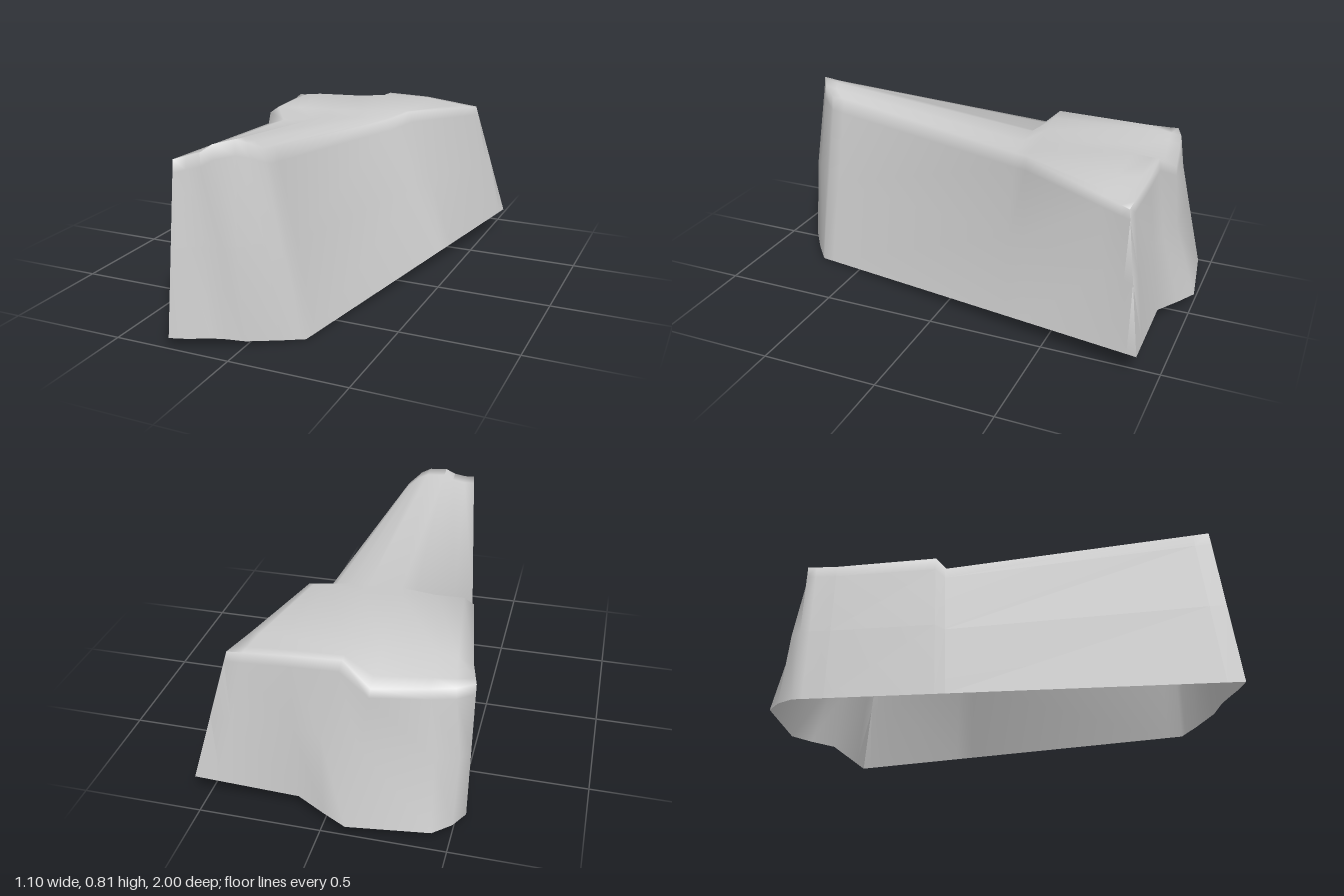
import * as THREE from 'three';
import { toCreasedNormals } from 'three/addons/utils/BufferGeometryUtils.js';

// Cross-sections run from the -x side to the +x side.
// Front end: bottom edge, middle, top rim
const front = [
  [[-.26, .045, 1], [-.2, .04, .97], [-.12, .035, .92], [-.08, .03, .895], [0, .02, .86], [.11, .01, .78], [.19, 0, .71]],
  [[-.26, .3925, .955], [-.22, .4, .93], [-.15, .4, .885], [-.09, .4, .865], [-.03, .4, .845], [.05, .41, .78], [.11, .38, .705]],
  [[-.26, .74, .91], [-.22, .75, .88], [-.17, .765, .865], [-.13, .795, .84], [-.06, .81, .79], [-.02, .795, .77], [.03, .76, .7]],
];

// Top: end of the sloping front part, start of the rear block, rear block
const top = [
  [[-.44, .61, -.2], [-.36, .635, -.2], [-.2, .655, -.2], [-.14, .675, -.21], [0, .68, -.22], [.08, .68, -.23], [.15, .675, -.24]],
  [[-.45, .655, -.24], [-.41, .685, -.25], [-.3, .688, -.26], [-.15, .69, -.28], [0, .695, -.3], [.15, .705, -.31], [.23, .705, -.32]],
  [[-.52, .635, -.66], [-.46, .66, -.66], [-.38, .67, -.66], [-.17, .675, -.68], [-.04, .685, -.7], [.2, .68, -.7], [.36, .66, -.68]],
];

// Back end: top rim dented at its centre, middle, flared bottom edge
const back = [
  [[-.55, .63, -.78], [-.48, .62, -.81], [-.39, .612, -.825], [-.17, .6, -.86], [-.05, .675, -.81], [.15, .67, -.82], [.41, .645, -.81]],
  [[-.545, .3275, -.79], [-.51, .33, -.845], [-.42, .34, -.88], [-.13, .34, -.892], [.03, .36, -.87], [.14, .36, -.855], [.48, .3675, -.86]],
  [[-.54, .025, -.8], [-.5, .03, -.88], [-.43, .035, -.95], [-.1, .04, -1], [0, .045, -.95], [.12, .057, -.89], [.55, .09, -.91]],
];

const lerp = (a, b, t) => a.map((v, i) => v * (1 - t) + b[i] * t);
const between = (rowA, rowB, t) => rowA.map((p, i) => lerp(p, rowB[i], t));

// Extra loop close to the rim keeps the rounding of the edge narrow
const NEAR_RIM = 0.85;

// Joins neighbouring sections with two triangles per cell
function skin(rows, out) {
  for (let r = 0; r < rows.length - 1; r++) {
    for (let c = 0; c < rows[r].length - 1; c++) {
      const a = rows[r][c], b = rows[r][c + 1];
      const d = rows[r + 1][c], e = rows[r + 1][c + 1];
      out.push(...a, ...b, ...d, ...b, ...e, ...d);
    }
  }
}

// Side wall of one section, from the straight bottom edge up to the rim
function wall(rim, col) {
  const z0 = front[2][col][2], z1 = back[0][col][2];
  const t = (z0 - rim[col][2]) / (z0 - z1);
  const bottom = lerp(front[0][col], back[2][col], t);
  const middle = lerp(bottom, rim[col], 0.5);
  return [bottom, middle, lerp(middle, rim[col], NEAR_RIM)];
}

export function createModel() {
  const group = new THREE.Group();
  group.name = 'rockWedge';

  // Top and side walls, section by section
  const rims = [
    front[2], between(front[2], top[0], 0.06), ...top,
    between(top[2], back[0], 0.7), back[0],
  ];
  const body = rims.map((rim) => {
    const rightEdge = lerp(rim[5], rim[6], 0.75);
    return [...wall(rim, 0), ...rim.slice(0, 6), rightEdge, rim[6], ...wall(rim, 6).reverse()];
  });

  const positions = [];
  skin(body, positions);

  // Front and back walls share the rims and corners of the body
  const withRightEdge = (row) => [...row.slice(0, 6), lerp(row[5], row[6], 0.75), row[6]];
  skin([front[0], front[1], between(front[1], front[2], NEAR_RIM), front[2]].map(withRightEdge), positions);
  skin([back[0], between(back[1], back[0], NEAR_RIM), back[1], back[2]].map(withRightEdge), positions);

  // Hollow shell, open underneath
  const geometry = new THREE.BufferGeometry();
  geometry.setAttribute('position', new THREE.Float32BufferAttribute(positions, 3));
  const shell = new THREE.Mesh(
    toCreasedNormals(geometry, 1.8),
    new THREE.MeshStandardMaterial({ color: 0xcccccc, side: THREE.DoubleSide })
  );
  shell.name = 'rockShell';
  group.add(shell);
  return group;
}
